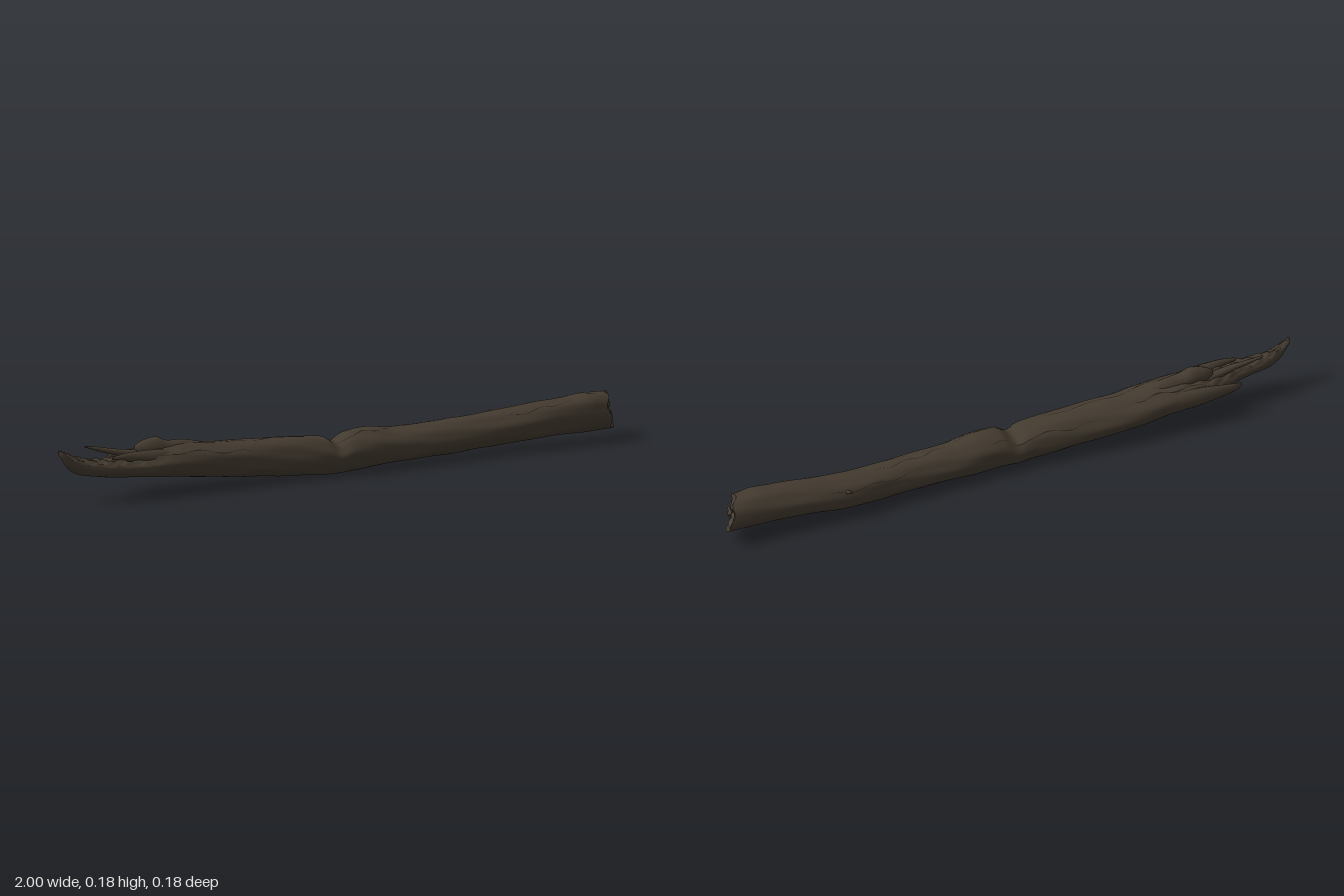
import * as THREE from 'three';

// Cross-sections along x: [x, bottom, top, back, front]
const LOG = [
  [-1, .168, .19, -.008, .012], [-.97, .125, .176, -.014, .018], [-.93, .1, .162, -.02, .022],
  [-.86, .086, .15, -.024, .04], [-.8, .077, .15, -.034, .05], [-.74, .07, .15, -.055, .057],
  [-.66, .061, .157, -.08, .063], [-.55, .05, .16, -.086, .063], [-.4, .031, .148, -.08, .066],
  [-.2, .014, .141, -.064, .07], [-.06, .006, .13, -.054, .078], [-.02, .005, .109, -.052, .08],
  [.025, .006, .135, -.051, .083], [.1, .009, .14, -.053, .086], [.2, .014, .128, -.053, .08],
  [.4, .018, .13, -.053, .071], [.55, .024, .136, -.06, .066], [.62, .027, .141, -.056, .067],
  [.75, .035, .153, -.045, .071], [.9, .038, .165, -.038, .076], [1, .04, .162, -.036, .072],
];
const SLAB = [
  [-.795, .112, .122, -.078, -.068], [-.77, .108, .134, -.092, -.078], [-.74, .1, .138, -.092, -.074],
  [-.65, .08, .142, -.091, -.05], [-.5, .07, .138, -.084, -.03],
];
const RIDGE = [
  [-.715, .145, .165, -.03, -.012], [-.69, .13, .18, -.04, 0], [-.645, .12, .188, -.042, .012],
  [-.61, .12, .174, -.04, .015], [-.55, .11, .17, -.04, .014], [-.46, .1, .15, -.035, .01],
];
const SPIKE = [
  [-.885, .174, .18, -.046, -.038], [-.84, .158, .173, -.042, -.028],
  [-.78, .14, .162, -.036, -.012], [-.68, .11, .148, -.04, 0],
];
const SHARD = [
  [-.82, .14, .15, .02, .028], [-.77, .13, .158, .014, .036], [-.69, .11, .158, .004, .045], [-.58, .1, .15, 0, .04],
];

// Smooth interpolation of the cross-section table
function section(table, x) {
  let i = 0;
  while (i < table.length - 2 && x > table[i + 1][0]) i++;
  const p = table[i], q = table[i + 1], h = q[0] - p[0], t = (x - p[0]) / h;
  const o = table[Math.max(i - 1, 0)], r = table[Math.min(i + 2, table.length - 1)];
  return [1, 2, 3, 4].map((k) => {
    const m0 = (q[k] - o[k]) / (q[0] - o[0]) * h, m1 = (r[k] - p[k]) / (r[0] - p[0]) * h;
    const t2 = t * t, t3 = t2 * t;
    return (2 * t3 - 3 * t2 + 1) * p[k] + (t3 - 2 * t2 + t) * m0 + (3 * t2 - 2 * t3) * q[k] + (t3 - t2) * m1;
  });
}

// Long lumps and finer grain, repeating around the trunk
const bark = (x, a) =>
  .026 * Math.sin(3 * a + 5 * x + Math.sin(9 * x)) + .018 * Math.sin(5 * a - 11 * x + 1)
  + .013 * Math.sin(9 * a + 17 * x + 2 * Math.sin(4 * x)) + .01 * Math.sin(2 * a + 41 * x);

// Point on any swept piece; a = 0 faces front, a = PI / 2 faces up
function surface(table, x, a, lift = 0) {
  const [b, t, k, f] = section(table, x), s = Math.sin(a), c = Math.cos(a);
  const r = .985 + bark(x, a);
  let y = (b + t) / 2 + (t - b) / 2 * s * r + lift * s;
  const z = (k + f) / 2 + (f - k) / 2 * c * r + lift * c;
  let px = x;
  if (table === LOG) {
    // Ragged hollow where the trunk is torn away
    const torn = THREE.MathUtils.smoothstep(-x, .56, .76) * Math.max(s, 0);
    y -= torn * (t - b) * (.14 + .12 * Math.sin(x * 95 + 3 * c) * Math.sin(7 * a + 20 * x));
    // Slanted, chipped break at the other end
    const end = THREE.MathUtils.smoothstep(x, .82, 1);
    px -= end * (.028 + .022 * c + .012 * s + .006 * Math.sin(5 * a));
  }
  return new THREE.Vector3(px, Math.max(y, 0), z);
}

function build(points, index) {
  const g = new THREE.BufferGeometry().setFromPoints(points);
  g.setIndex(index);
  g.computeVertexNormals();
  return g;
}

// Swept skin with the left end closed, and optionally the right one
function sweep(table, steps, sides, closeRight) {
  const pts = [], idx = [], x0 = table[0][0], x1 = table[table.length - 1][0];
  for (let i = 0; i <= steps; i++)
    for (let j = 0; j < sides; j++)
      pts.push(surface(table, x0 + (x1 - x0) * i / steps, j / sides * Math.PI * 2));
  for (let i = 0; i < steps; i++)
    for (let j = 0; j < sides; j++) {
      const a = i * sides + j, b = i * sides + (j + 1) % sides;
      idx.push(a, a + sides, b, b, a + sides, b + sides);
    }
  const cap = (row, flip) => {
    const mid = new THREE.Vector3(), n = pts.length;
    for (let j = 0; j < sides; j++) mid.addScaledVector(pts[row * sides + j], 1 / sides);
    pts.push(mid);
    for (let j = 0; j < sides; j++) {
      const a = row * sides + j, b = row * sides + (j + 1) % sides;
      idx.push(n, ...(flip ? [a, b] : [b, a]));
    }
  };
  // The left cap looks towards -x
  cap(0, true);
  if (closeRight) cap(steps, false);
  return build(pts, idx);
}

// Rough wood face made of shrinking rings
function brokenFace(sides, rings) {
  const pts = [], idx = [], mid = new THREE.Vector3(.969, .1, .018);
  for (let i = 0; i <= rings; i++)
    for (let j = 0; j < sides; j++) {
      const a = j / sides * Math.PI * 2, k = i / rings;
      const p = surface(LOG, 1, a).lerp(mid, k);
      p.x += Math.sin(k * Math.PI) * (.006 * Math.sin(3 * a + 6 * k) + .005 * Math.sin(7 * a));
      pts.push(p);
    }
  for (let i = 0; i < rings; i++)
    for (let j = 0; j < sides; j++) {
      const a = i * sides + j, b = i * sides + (j + 1) % sides;
      idx.push(a, a + sides, b, b, a + sides, b + sides);
    }
  return build(pts, idx);
}

// Thin dark split lying on the bark: from x0 to x1, angle a0 to a1
function split(x0, x1, a0, a1, width) {
  const pts = [], idx = [], n = 28;
  for (let i = 0; i <= n; i++) {
    const t = i / n, x = x0 + (x1 - x0) * t;
    const a = a0 + (a1 - a0) * t + .09 * Math.sin(t * 17 + x0 * 9);
    const w = width * Math.sin(Math.PI * t) * (.7 + .3 * Math.sin(t * 31));
    pts.push(surface(LOG, x, a - w, .0015), surface(LOG, x, a + w, .0015));
    if (i < n) idx.push(2 * i, 2 * i + 2, 2 * i + 1, 2 * i + 1, 2 * i + 2, 2 * i + 3);
  }
  return build(pts, idx);
}

export function createModel() {
  const group = new THREE.Group();
  const material = (name, color) => {
    const m = new THREE.MeshStandardMaterial({ color });
    m.name = name;
    return m;
  };
  const barkMat = material('bark brown', 0x443b30);
  const woodMat = material('broken wood', 0x483f35);
  const crackMat = material('crack dark', 0x211c16);
  crackMat.side = THREE.DoubleSide;
  const add = (name, geometry, mat) => {
    const mesh = new THREE.Mesh(geometry, mat);
    mesh.name = name;
    group.add(mesh);
    return mesh;
  };

  // Trunk and its broken end
  add('trunk', sweep(LOG, 220, 48, false), barkMat);
  add('brokenEnd', brokenFace(48, 6), woodMat);

  // Torn pieces around the splintered end
  add('backSlab', sweep(SLAB, 24, 12, true), barkMat);
  add('topRidge', sweep(RIDGE, 24, 12, true), barkMat);
  add('thinSplinter', sweep(SPIKE, 16, 8, true), barkMat);
  add('frontSplinter', sweep(SHARD, 16, 8, true), barkMat);

  // Twig stub at the back
  const twig = add('twigStub', new THREE.CylinderGeometry(.004, .008, .04, 8), barkMat);
  twig.position.set(.59, .112, -.058);
  twig.rotation.x = -1.1;

  // Splits in the bark
  const splits = [
    [-.7, -.3, .75, .6, .035], [-.6, -.1, 1.3, 1.5, .03], [-.72, -.4, 2.3, 2.1, .04], [-.05, .2, 1.0, 1.35, .03],
    [.2, .5, 1.6, 1.9, .025], [.55, .85, .8, 1.0, .025], [-.3, .1, 2.6, 2.3, .025], [.3, .7, 2.5, 2.7, .02],
  ];
  for (const s of splits) add('barkSplit', split(...s), crackMat);

  return group;
}
